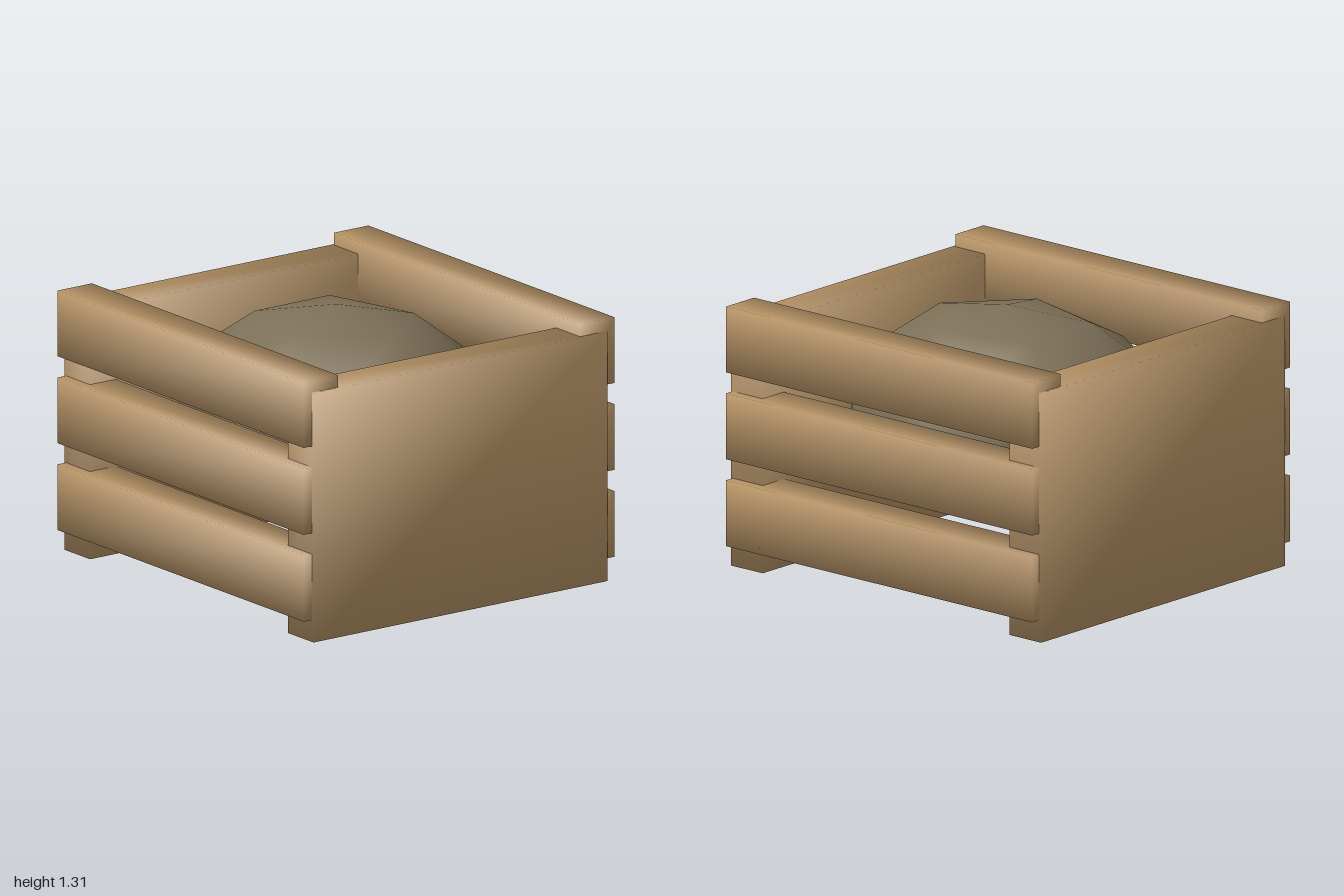
import * as THREE from 'three';
import { mergeVertices } from 'three/addons/utils/BufferGeometryUtils.js';

const wood = new THREE.MeshStandardMaterial({ name: 'wood', color: 0xba9668 });
const stone = new THREE.MeshStandardMaterial({ name: 'stone', color: 0x7d7058 });

// Box shaded smoothly around its corners
function softBox(name, w, h, d, x, y, z) {
  const geo = new THREE.BoxGeometry(w, h, d);
  const p = geo.attributes.position;
  const n = new THREE.Vector3();
  for (let i = 0; i < p.count; i++) {
    n.set(Math.sign(p.getX(i)), Math.sign(p.getY(i)), Math.sign(p.getZ(i))).normalize();
    geo.attributes.normal.setXYZ(i, n.x, n.y, n.z);
  }
  const mesh = new THREE.Mesh(geo, wood);
  mesh.name = name;
  mesh.position.set(x, y, z);
  return mesh;
}

export function createModel() {
  const model = new THREE.Group();
  model.name = 'crate';

  // Solid side panels
  for (const s of [-1, 1]) {
    model.add(softBox(s > 0 ? 'leftPanel' : 'rightPanel', 0.205, 1.25, 1.77, s * 0.8975, 0.625, 0));
  }

  // Three slats across the front and back
  for (const s of [-1, 1]) {
    for (const y of [0.275, 0.711, 1.147]) {
      model.add(softBox(s > 0 ? 'frontSlat' : 'backSlat', 1.976, 0.33, 0.206, 0, y, s * 0.832));
    }
  }

  // Faceted, flattened mound, with a vertex at the top
  let geo = new THREE.IcosahedronGeometry(1, 1);
  geo.rotateZ(-Math.atan(2 / (1 + Math.sqrt(5))));
  geo.scale(0.834, 0.515, 0.73);
  geo.deleteAttribute('normal');
  geo.deleteAttribute('uv');
  geo = mergeVertices(geo, 1e-3);
  geo.computeVertexNormals();
  const mound = new THREE.Mesh(geo, stone);
  mound.name = 'contents';
  mound.position.set(0, 0.796, -0.002);
  model.add(mound);

  return model;
}
